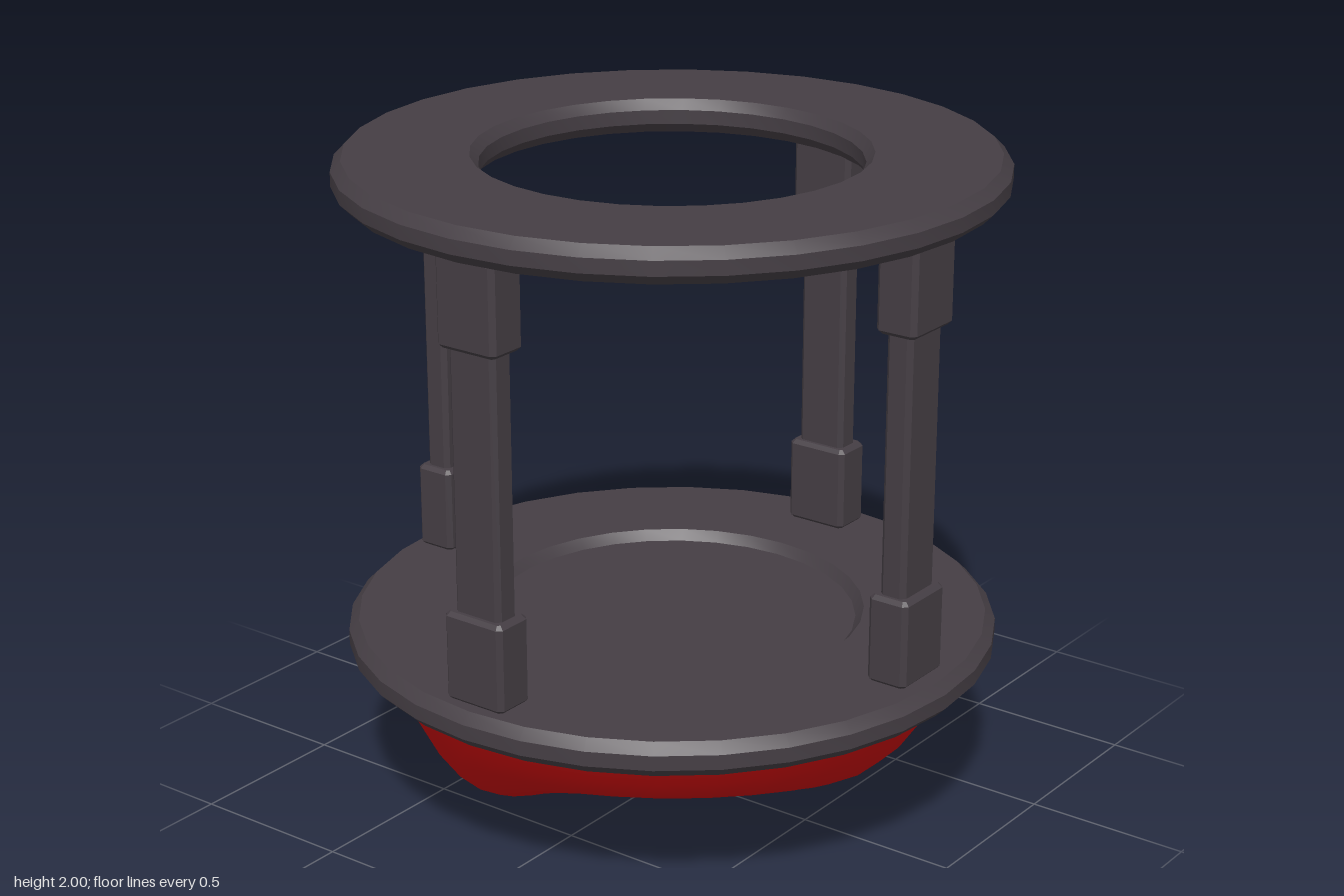
import * as THREE from 'three';
import { mergeVertices, toCreasedNormals } from 'three/addons/utils/BufferGeometryUtils.js';

const iron = new THREE.MeshStandardMaterial({ color: 0x453e44 });
iron.name = 'dark iron';
const red = new THREE.MeshStandardMaterial({ color: 0xcc0d0d });
red.name = 'red';

function part(name, geometry, material, x = 0, y = 0, z = 0) {
  const mesh = new THREE.Mesh(geometry, material);
  mesh.name = name;
  mesh.position.set(x, y, z);
  return mesh;
}

// Flat ring with chamfered inner and outer edges, bottom at y = 0
function ringGeometry(h) {
  const c = 0.03;
  const profile = [
    [0.58, 0], [0.945, 0], [0.975, c], [0.975, h - c], [0.945, h],
    [0.58, h], [0.555, h - c], [0.555, c], [0.58, 0],
  ].map(([r, y]) => new THREE.Vector2(r, y));
  return toCreasedNormals(new THREE.LatheGeometry(profile, 32), 0.5);
}

// Box with all edges chamfered, bottom at y = 0
function chamferedBox(w, h, d, c) {
  const x = w / 2 - c, z = d / 2 - c, k = c * 0.6;
  const shape = new THREE.Shape([
    [x, -z + k], [x, z - k], [x - k, z], [-x + k, z],
    [-x, z - k], [-x, -z + k], [-x + k, -z], [x - k, -z],
  ].map(([a, b]) => new THREE.Vector2(a, b)));
  const g = new THREE.ExtrudeGeometry(shape, {
    depth: h - 2 * c, bevelEnabled: true, bevelSegments: 1, bevelSize: c, bevelThickness: c,
  });
  return g.translate(0, 0, c).rotateX(-Math.PI / 2);
}

// Lumpy underside: a shallow bowl with a deep lobe and a smaller second lobe
function lumpGeometry() {
  const R = 0.865;
  const lobe = (x, z, cx, cz, s) => Math.exp(-((x - cx) ** 2 + (z - cz) ** 2) / (s * s));
  const g = new THREE.RingGeometry(0, R, 32, 14).rotateX(Math.PI / 2);
  const p = g.attributes.position;
  for (let i = 0; i < p.count; i++) {
    const x = p.getX(i), z = p.getZ(i);
    const edge = 1 - Math.min(1, Math.hypot(x, z) / R) ** 7;
    const depth = 0.24 + 0.257 * lobe(x, z, -0.42, 0.38, 0.42) + 0.12 * lobe(x, z, 0.53, -0.16, 0.4);
    p.setXYZ(i, x + 0.01, 0.482 - edge * depth, z + 0.008);
  }
  g.deleteAttribute('uv');
  g.deleteAttribute('normal');
  const smooth = mergeVertices(g, 1e-4);
  smooth.computeVertexNormals();
  return smooth;
}

export function createModel() {
  const model = new THREE.Group();

  // Top ring, bottom ring and its recessed floor
  model.add(part('topRing', ringGeometry(0.103), iron, 0, 1.897, 0));
  model.add(part('bottomRing', ringGeometry(0.105), iron, 0, 0.48, 0));
  model.add(part('floor', new THREE.CylinderGeometry(0.56, 0.56, 0.06, 32), iron, 0, 0.525, 0));

  // Four posts, each a shaft between two blocks
  const shaft = chamferedBox(0.162, 0.86, 0.084, 0.012);
  const block = chamferedBox(0.206, 0.27, 0.13, 0.012);
  const posts = new THREE.Group();
  posts.name = 'posts';
  posts.position.set(-0.01, 0, 0.005);
  for (let i = 0; i < 4; i++) {
    const post = new THREE.Group();
    post.name = 'post';
    post.add(part('shaft', shaft, iron, 0, 0.81, 0.846));
    post.add(part('lowerBlock', block, iron, 0, 0.583, 0.846));
    post.add(part('upperBlock', block, iron, 0, 1.63, 0.846));
    post.rotation.y = i * Math.PI / 2;
    posts.add(post);
  }
  model.add(posts);

  // Red underside
  model.add(part('redUnderside', lumpGeometry(), red));
  return model;
}
